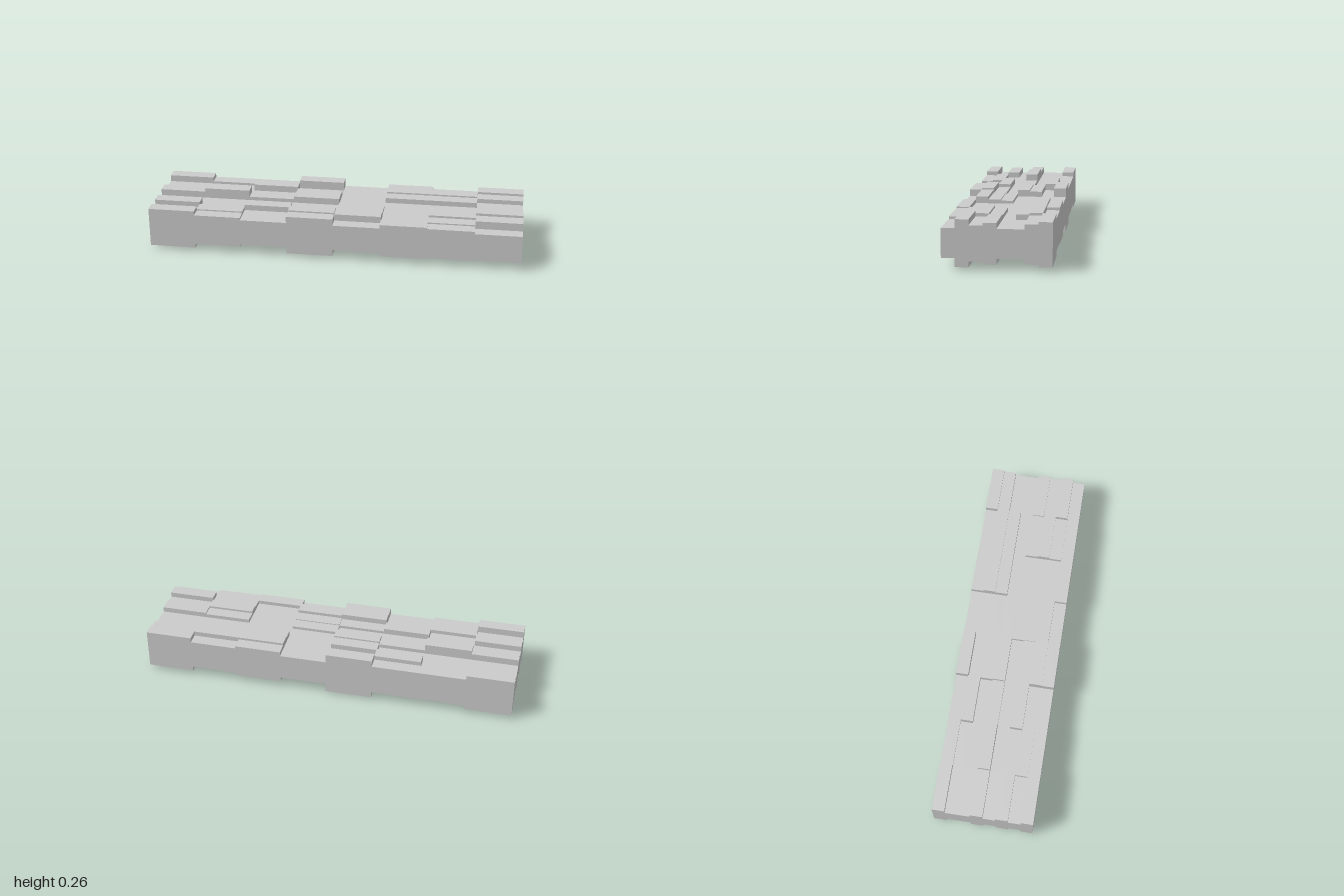
import * as THREE from 'three';

// Top height of every block: each row runs from x = -1 to x = 1, rows go from front to back
const ROWS = [
  [0.236, 0.213, 0.2, 0.236, 0.2, 0.22, 0.213, 0.2],
  [0.2, 0.22, 0.2, 0.244, 0.236, 0.2, 0.22, 0.243],
  [0.231, 0.2, 0.231, 0.215, 0.22, 0.2, 0.231, 0.215],
  [0.2, 0.2, 0.2, 0.2, 0.215, 0.2, 0.22, 0.228],
  [0.236, 0.256, 0.22, 0.236, 0.2, 0.2, 0.2, 0.2],
  [0.2, 0.2, 0.2, 0.228, 0.2, 0.228, 0.228, 0.2],
  [0.2, 0.2, 0.236, 0.2, 0.2, 0.236, 0.236, 0.224],
  [0.236, 0.213, 0.213, 0.247, 0.2, 0.224, 0.21, 0.236],
];
const MID = 0.128; // the underside mirrors the top about this height
const N = 8, DX = 2 / N, DZ = 0.53 / N;

function slabGeometry() {
  const pos = [];
  // Adds a quad (counter-clockwise) and its mirror image below the middle plane
  const quad = (...c) => {
    for (const i of [0, 1, 2, 0, 2, 3]) pos.push(c[i][0], MID + c[i][1], c[i][2]);
    for (const i of [0, 2, 1, 0, 3, 2]) pos.push(c[i][0], MID - c[i][1], c[i][2]);
  };
  const height = (r, c) => (r < 0 || c < 0 || r >= N || c >= N ? 0 : ROWS[r][c] - MID);

  for (let r = 0; r < N; r++) {
    for (let c = 0; c < N; c++) {
      const h = height(r, c);
      const x0 = -1 + c * DX, x1 = x0 + DX;
      const z1 = 0.265 - r * DZ, z0 = z1 - DZ;
      // top face
      quad([x0, h, z1], [x1, h, z1], [x1, h, z0], [x0, h, z0]);
      // walls down to each lower neighbour, or to the middle at the rim
      const sides = [
        [height(r - 1, c), x0, z1, x1, z1],
        [height(r, c + 1), x1, z1, x1, z0],
        [height(r + 1, c), x1, z0, x0, z0],
        [height(r, c - 1), x0, z0, x0, z1],
      ];
      for (const [low, ax, az, bx, bz] of sides) {
        if (low < h) quad([ax, low, az], [bx, low, bz], [bx, h, bz], [ax, h, az]);
      }
    }
  }
  const geometry = new THREE.BufferGeometry();
  geometry.setAttribute('position', new THREE.Float32BufferAttribute(pos, 3));
  geometry.computeVertexNormals();
  return geometry;
}

export function createModel() {
  const group = new THREE.Group();
  group.name = 'steppedSlab';
  const material = new THREE.MeshStandardMaterial({ color: 0xcccccc, flatShading: true });
  const slab = new THREE.Mesh(slabGeometry(), material);
  slab.name = 'steppedBlocks';
  group.add(slab);
  return group;
}
